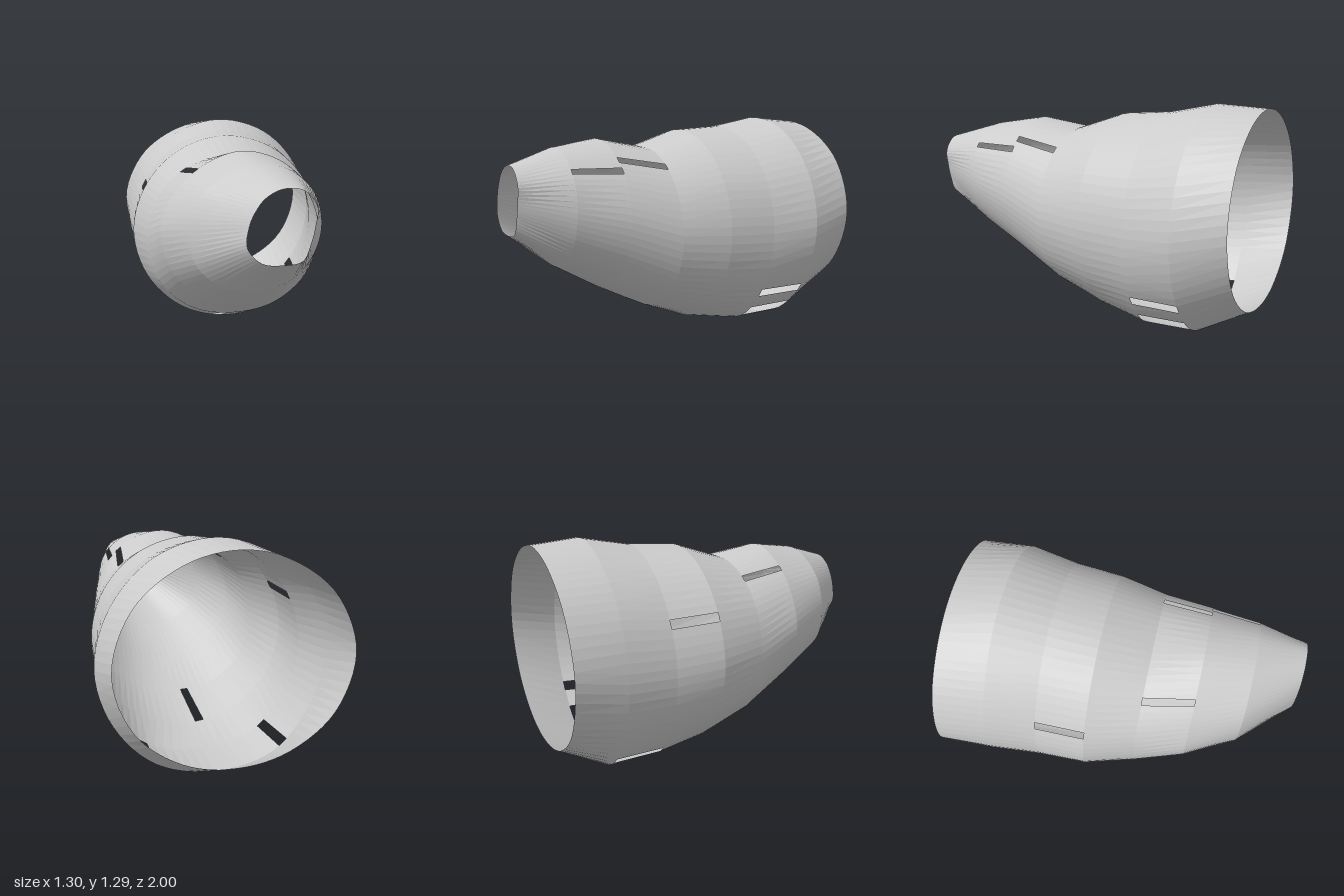
import * as THREE from 'three';

const SIDES = 72;

// Cross-sections from front to back: z, centre x, centre y, radii every 30 degrees from +x
const SECTIONS = [
  [1, 0.12, 0.86, [0.157, 0.19, 0.2, 0.183, 0.165, 0.155, 0.166, 0.2, 0.205, 0.19, 0.198, 0.16]],
  [0.714, 0.04, 0.8, [0.345, 0.352, 0.345, 0.33, 0.32, 0.335, 0.35, 0.37, 0.36, 0.34, 0.34, 0.34]],
  [0.429, 0, 0.74, [0.455, 0.445, 0.438, 0.435, 0.415, 0.425, 0.45, 0.455, 0.445, 0.44, 0.44, 0.45]],
  [0.143, 0, 0.65, [0.52, 0.51, 0.495, 0.475, 0.49, 0.51, 0.52, 0.53, 0.515, 0.49, 0.5, 0.515]],
  [-0.143, -0.01, 0.635, [0.585, 0.585, 0.585, 0.585, 0.58, 0.58, 0.59, 0.59, 0.59, 0.585, 0.585, 0.585]],
  [-0.429, 0, 0.625, [0.6, 0.605, 0.61, 0.615, 0.6, 0.59, 0.6, 0.61, 0.635, 0.613, 0.635, 0.61]],
  [-0.714, 0, 0.65, [0.65, 0.645, 0.65, 0.645, 0.623, 0.625, 0.63, 0.635, 0.665, 0.648, 0.654, 0.645]],
  [-1, -0.02, 0.715, [0.63, 0.61, 0.575, 0.56, 0.565, 0.6, 0.635, 0.62, 0.58, 0.56, 0.575, 0.61]],
];

// Open slits: band index, x and y of the slit's middle
const SLITS = [
  [1, 0.345, 1.02],
  [2, 0.315, 1.05],
  [2, -0.265, 1.06],
  [3, -0.085, 0.105],
  [4, -0.515, 0.91],
  [5, 0.5, 0.275],
  [5, 0.395, 0.13],
  [5, 0.335, 0.085],
  [5, -0.385, 0.13],
];

// Smooth closed ring through the radii of one cross-section
function ring([z, cx, cy, radii]) {
  const points = radii.map((r, i) => {
    const a = (i * Math.PI) / 6;
    return new THREE.Vector3(cx + r * Math.cos(a), cy + r * Math.sin(a), z);
  });
  const curve = new THREE.CatmullRomCurve3(points, true, 'catmullrom', 0.5);
  return Array.from({ length: SIDES }, (_, j) => curve.getPoint(j / SIDES));
}

// Skin the rings band by band, leaving out the slit panels
function shellGeometry() {
  const rings = SECTIONS.map(ring);
  const corners = (i, j) => {
    const k = (j + 1) % SIDES;
    return [rings[i][j], rings[i][k], rings[i + 1][k], rings[i + 1][j]];
  };

  const open = new Set();
  for (const [band, x, y] of SLITS) {
    let best = Infinity, panel = 0;
    for (let j = 0; j < SIDES; j++) {
      const c = corners(band, j);
      const mx = c.reduce((s, p) => s + p.x, 0) / 4;
      const my = c.reduce((s, p) => s + p.y, 0) / 4;
      const d = Math.hypot(mx - x, my - y);
      if (d < best && !open.has(`${band},${j}`)) {
        best = d;
        panel = j;
      }
    }
    open.add(`${band},${panel}`);
  }

  const vertices = [];
  for (let i = 0; i < rings.length - 1; i++) {
    for (let j = 0; j < SIDES; j++) {
      if (open.has(`${i},${j}`)) continue;
      const [a, b, c, d] = corners(i, j);
      vertices.push(a, d, c, a, c, b);
    }
  }
  const geometry = new THREE.BufferGeometry().setFromPoints(vertices);
  geometry.computeVertexNormals();
  return geometry;
}

export function createModel() {
  const model = new THREE.Group();
  model.name = 'taperedOpenShell';
  const material = new THREE.MeshStandardMaterial({
    color: 0xcccccc,
    flatShading: true,
    side: THREE.DoubleSide,
  });
  const shell = new THREE.Mesh(shellGeometry(), material);
  shell.name = 'shell';
  model.add(shell);
  return model;
}
